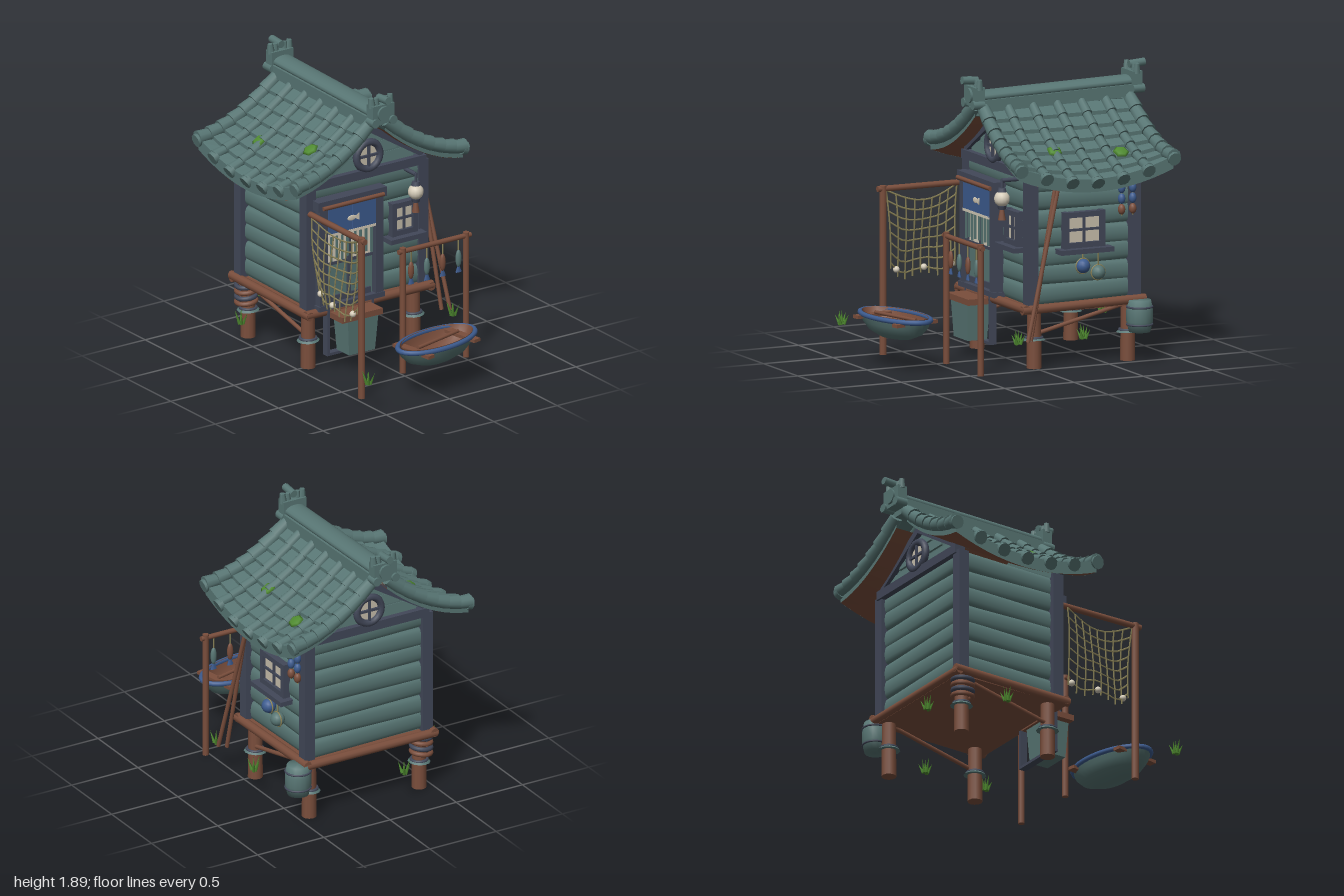
import * as THREE from 'three';
import { ParametricGeometry } from 'three/addons/geometries/ParametricGeometry.js';

const mat = (name, color, side = THREE.FrontSide) => Object.assign(new THREE.MeshStandardMaterial({ color, side }), { name });
const teal = mat('teal', 0x587674, THREE.DoubleSide), slate = mat('slate', 0x424859), brown = mat('brown', 0x7a4e3c, THREE.DoubleSide);
const blue = mat('blue', 0x3d5c90), cream = mat('cream', 0xd6cdba), green = mat('green', 0x4f8a30, THREE.DoubleSide);
const rope = mat('rope', 0x8b8358), glass = mat('pane', 0xc9c0ad);
const V = (x, y, z) => new THREE.Vector3(x, y, z);
const UP = V(0, 1, 0);

export function createModel() {
  const root = new THREE.Group();
  root.name = 'stiltHut';
  const group = (name, x = 0, y = 0, z = 0, parent = root) => {
    const g = new THREE.Group();
    g.name = name; g.position.set(x, y, z); parent.add(g);
    return g;
  };
  const add = (name, geo, m, x = 0, y = 0, z = 0, parent = root) => {
    const o = new THREE.Mesh(geo, m);
    o.name = name; o.position.set(x, y, z); parent.add(o);
    return o;
  };
  const box = (name, m, w, h, d, x, y, z, p) => add(name, new THREE.BoxGeometry(w, h, d), m, x, y, z, p);
  const ball = (name, m, r, x, y, z, p, sx = 1, sy = 1, sz = 1) => {
    const o = add(name, new THREE.SphereGeometry(r, 14, 10), m, x, y, z, p);
    o.scale.set(sx, sy, sz);
    return o;
  };
  const rod = (name, m, a, b, r, p, rEnd = r, seg = 10) => {
    const d = b.clone().sub(a), c = a.clone().add(b).multiplyScalar(0.5);
    const o = add(name, new THREE.CylinderGeometry(rEnd, r, d.length(), seg), m, c.x, c.y, c.z, p);
    o.quaternion.setFromUnitVectors(UP, d.normalize());
    return o;
  };
  const ring = (name, m, r, t, x, y, z, p) => add(name, new THREE.TorusGeometry(r, t, 8, 24), m, x, y, z, p);
  const flatRing = (...a) => { const o = ring(...a); o.rotation.x = Math.PI / 2; return o; };

  // Floor and piles
  const base = group('platform');
  box('floor', brown, 0.96, 0.05, 0.84, 0, 0.395, -0.325, base);
  for (const s of [-1, 1]) {
    rod('sideEdgeLog', brown, V(s * 0.48, 0.395, 0.12), V(s * 0.48, 0.41, -0.77), 0.03, base);
    rod('endEdgeLog', brown, V(-0.5, 0.4, -0.325 + s * 0.42), V(0.5, 0.4, -0.325 + s * 0.42), 0.03, base);
    rod('brace', brown, V(s * 0.43, 0.23, -0.02), V(s * 0.43, 0.37, -0.62), 0.014, base);
    for (const z of [0, -0.675]) {
      rod('pile', brown, V(s * 0.415, 0, z), V(s * 0.415, 0.4, z), 0.049, base, 0.045, 12);
      flatRing('pileBand', slate, 0.052, 0.011, s * 0.415, 0.2, z, base);
      const flare = rod('pileCollar', teal, V(s * 0.415, 0.185, z), V(s * 0.415, 0.2, z), 0.075, base, 0.06, 12);
      flare.rotation.z += 0.05;
    }
  }
  for (let i = 0; i < 4; i++) flatRing('ropeCoil', i % 2 ? slate : brown, 0.065, 0.016, -0.43, 0.25 + i * 0.038, -0.675, base).rotation.y = 0.12;

  // Walls of rounded boards
  const walls = group('walls');
  box('wallCore', teal, 0.84, 0.87, 0.72, 0, 0.85, -0.325, walls);
  const board = (a, b) => {
    const o = rod('wallBoard', teal, a, b, 0.066, walls, 0.066, 12);
    const alongX = Math.abs(b.x - a.x) > 0.1;
    o.scale.set(alongX ? 1 : 0.4, 1, alongX ? 0.4 : 1);
  };
  for (let i = 0; i < 7; i++) {
    const y = 0.485 + i * 0.122, t = (i % 2 ? 1 : -1) * 0.008;
    for (const z of [0.038, -0.688]) board(V(-0.43, y - t, z), V(0.43, y + t, z));
    for (const x of [-0.423, 0.423]) board(V(x, y + t, 0.03), V(x, y - t, -0.68));
  }
  for (const x of [-0.445, 0.445]) for (const z of [0.04, -0.7]) {
    box('cornerPost', slate, 0.075, 0.86, 0.075, x, 0.84, z, walls);
  }

  // Windows: four panes, frame and sill, facing +z locally
  const windowUnit = (name, w, h, x, y, z, ry) => {
    const g = group(name, x, y, z);
    g.rotation.y = ry;
    box('panes', glass, w, h, 0.012, 0, 0, 0.012, g);
    for (const s of [-1, 1]) {
      box('frameSide', slate, 0.035, h + 0.04, 0.05, s * w / 2, 0, 0.015, g);
      box('frameRail', slate, w + 0.03, 0.035, 0.05, 0, s * h / 2, 0.015, g);
    }
    box('mullion', slate, 0.016, h, 0.02, 0, 0, 0.02, g);
    box('crossBar', slate, w, 0.016, 0.02, 0, 0, 0.02, g);
    box('sill', slate, w + 0.12, 0.032, 0.11, 0, -h / 2 - 0.035, 0.03, g);
    return g;
  };
  windowUnit('frontWindow', 0.165, 0.19, 0.28, 0.91, 0.065, 0);
  windowUnit('sideWindow', 0.26, 0.2, 0.45, 0.895, -0.33, Math.PI / 2);

  // Gables with round windows
  const gableShape = new THREE.Shape([[-0.43, 1.27], [0.43, 1.27], [0.42, 1.33], [0, 1.6], [-0.42, 1.33]].map(p => new THREE.Vector2(...p)));
  for (const [z, s] of [[0.045, 1], [-0.695, -1]]) {
    const g = group(s > 0 ? 'frontGable' : 'backGable', 0, 0, z);
    if (s < 0) g.rotation.y = Math.PI;
    add('gableWall', new THREE.ExtrudeGeometry(gableShape, { depth: 0.04, bevelEnabled: false }), teal, 0, 0, -0.035, g);
    [[1.345, 0.37], [1.43, 0.24], [1.51, 0.12]].forEach(([y, w]) => box('gableBoard', teal, w * 2, 0.07, 0.02, 0, y, 0.005, g).rotation.x = -0.12);
    box('tieBeam', slate, 0.9, 0.06, 0.08, 0, 1.28, 0.015, g);
    for (const k of [-1, 1]) {
      const b = box('gableRafter', slate, 0.52, 0.045, 0.04, k * 0.215, 1.455, 0.02, g);
      b.rotation.z = -k * 0.56;
    }
    ring('roundFrame', slate, 0.092, 0.025, 0, 1.4, 0.04, g);
    const disc = add('roundPane', new THREE.CylinderGeometry(0.09, 0.09, 0.02, 24), glass, 0, 1.4, 0.03, g);
    disc.rotation.x = Math.PI / 2;
    box('roundMullion', slate, 0.016, 0.17, 0.02, 0, 1.4, 0.045, g);
    box('roundCrossBar', slate, 0.17, 0.016, 0.02, 0, 1.4, 0.045, g);
  }

  // Curved roof: concave down the slope, lifted toward the gable ends
  const roof = group('roof');
  const roofPoint = (s, u, t, up = 0) => V(s * (0.06 + 0.6 * u), 1.65 - 0.55 * u + 0.13 * u * u + 0.11 * u * u * t * t + up, -0.335 + t * (0.525 + 0.025 * u));
  const sheet = (name, m, f, a, b) => {
    const g = new ParametricGeometry((p, q, out) => out.copy(f(p, q)), a, b).toNonIndexed();
    g.computeVertexNormals();
    add(name, g, m, 0, 0, 0, roof);
  };
  const rows = 7, rolls = 7;
  for (const s of [-1, 1]) {
    sheet('soffit', brown, (p, q) => roofPoint(s, p, q * 2 - 1, -0.06), 8, 10);
    sheet('eaveEdge', teal, (p, q) => roofPoint(s, 1, q * 2 - 1, -0.06 + p * 0.08), 1, 14);
    for (const t of [-1, 1]) sheet('gableEdge', teal, (p, q) => roofPoint(s, p, t, -0.06 + q * 0.07), 10, 1);
    for (let i = 0; i < rows; i++) {
      sheet('tileRow', teal, (p, q) => roofPoint(s, (i + Math.min(1, p * 2)) / rows, q * 2 - 1, p === 0.5 ? 0.025 : 0), 2, 18);
      for (let j = 0; j < rolls; j++) {
        const t = j / (rolls - 1) * 2 - 1, edge = Math.abs(t) > 0.99, r = edge ? 0.046 : 0.033;
        rod('rollTile', teal, roofPoint(s, i / rows, t, 0.014), roofPoint(s, (i + 1.1) / rows, t, 0.022), r * 0.9, roof, r * 1.08);
      }
    }
    for (let j = 0; j < rolls; j++) {
      const t = j / (rolls - 1) * 2 - 1;
      rod('eaveCap', teal, roofPoint(s, 0.98, t, 0.01), roofPoint(s, 1.035, t, 0.005), 0.045, roof);
    }
  }
  for (const [x, z, s, ry] of [[0.47, -0.6, 1, 0.3], [0.41, -0.15, 1, 1], [-0.43, -0.53, -1, 2], [-0.34, -0.08, -1, 0.6]]) {
    const p = roofPoint(s, (Math.abs(x) - 0.06) / 0.6, (z + 0.335) / 0.54, 0.035);
    const moss = add('moss', new THREE.SphereGeometry(0.052, 6, 4), green, p.x, p.y, z, roof);
    moss.scale.set(1, 0.3, 1.1);
    moss.rotation.set(0, ry, -s * 0.58, 'ZYX');
  }

  // Ridge and end ornaments
  const ridge = group('ridge', 0, 1.7, -0.335);
  ridge.rotation.x = 0.02;
  box('ridgeBase', teal, 0.17, 0.08, 1.07, 0, -0.01, 0, ridge);
  box('ridgeCourse', slate, 0.13, 0.03, 1.08, 0, 0.04, 0, ridge);
  const cap = rod('ridgeCap', teal, V(0, 0.045, 0.54), V(0, 0.045, -0.54), 0.075, ridge, 0.075, 16);
  cap.scale.z = 0.5;
  for (const s of [-1, 1]) {
    const g = group('ridgeOrnament', 0, s > 0 ? 1.74 : 1.76, s > 0 ? 0.225 : -0.91);
    if (s < 0) g.rotation.y = Math.PI;
    box('ornamentBlock', teal, 0.17, 0.13, 0.07, 0, 0, 0, g);
    rod('ornamentDisc', teal, V(0, 0.005, 0.02), V(0, 0.005, 0.05), 0.05, g, 0.05, 16);
    rod('ornamentFinial', teal, V(0, 0.1, -0.02), V(0, 0.108, 0.09), 0.026, g);
    for (const k of [-1, 1]) {
      rod('ornamentScroll', teal, V(k * 0.07, -0.05, -0.03), V(k * 0.07, -0.05, 0.05), 0.03, g);
      rod('ornamentHorn', teal, V(k * 0.07, 0.05, 0), V(k * 0.075, 0.115, 0), 0.028, g, 0.018, 6);
      rod('ornamentTooth', teal, V(k * 0.035, 0.05, 0), V(k * 0.037, 0.11, 0), 0.024, g, 0.016, 6);
    }
  }

  // Doorway, sliding doors and curtain
  const door = group('doorway', -0.16, 0, 0.085);
  for (const s of [-1, 1]) {
    box('doorPost', slate, 0.06, 0.75, 0.07, s * 0.22, 0.79, 0.01, door);
    box('doorPanel', teal, 0.185, 0.64, 0.02, s * 0.095, 0.76, -0.005, door);
    box('doorPane', cream, 0.15, 0.3, 0.008, s * 0.095, 0.87, 0.008, door);
    box('doorRail', slate, 0.185, 0.02, 0.02, s * 0.095, 0.72, 0.008, door);
    box('doorKickRail', slate, 0.15, 0.04, 0.02, s * 0.095, 0.475, 0.008, door);
    box('curtain', blue, 0.184, 0.19, 0.012, s * 0.095, 1.03, 0.045, door);
    box('curtainTrim', cream, 0.184, 0.018, 0.016, s * 0.095, 0.932, 0.045, door);
    for (let i = 0; i < 4; i++) box('fringe', teal, 0.014, 0.16 + (i % 2) * 0.03, 0.012, s * (0.03 + i * 0.043), 0.84, 0.04, door);
  }
  box('doorStile', slate, 0.025, 0.66, 0.02, 0, 0.76, 0.01, door);
  box('lintel', slate, 0.54, 0.065, 0.09, 0, 1.145, 0.01, door);
  box('threshold', slate, 0.52, 0.035, 0.08, 0, 0.435, 0.01, door);
  rod('curtainRod', brown, V(-0.24, 1.135, 0.065), V(0.24, 1.135, 0.065), 0.014, door);
  ball('curtainFish', cream, 0.035, -0.005, 1.02, 0.052, door, 1, 0.55, 0.12);
  const tail = add('curtainFishTail', new THREE.CylinderGeometry(0.028, 0.028, 0.006, 3), cream, 0.037, 1.02, 0.053, door);
  tail.rotation.set(Math.PI / 2, Math.PI / 6, 0);

  // Step, hanging tub and lower frame
  const step = group('entryStep', -0.16, 0, 0.17);
  box('stepBoard', brown, 0.32, 0.04, 0.19, -0.01, 0.38, 0, step);
  const tub = add('tub', new THREE.CylinderGeometry(0.17, 0.145, 0.24, 4).rotateY(Math.PI / 4).toNonIndexed(), teal, 0, 0.24, 0.005, step);
  tub.geometry.computeVertexNormals();
  tub.scale.z = 0.68;
  for (const s of [-1, 1]) box('frameLeg', slate, 0.018, 0.32, 0.05, -0.005 + s * 0.175, 0.26, -0.07, step);
  box('frameFoot', slate, 0.37, 0.018, 0.05, -0.005, 0.105, -0.07, step);

  // Lantern
  const lantern = group('lantern', 0.31, 1.11, 0.18);
  ball('lanternGlobe', cream, 0.052, 0, 0, 0, lantern);
  for (const s of [-1, 1]) rod('lanternCap', slate, V(0, s * 0.045, 0), V(0, s * 0.07, 0), 0.032, lantern, 0.024);
  rod('lanternHook', slate, V(0, 0.07, 0), V(0, 0.13, 0), 0.01, lantern);
  rod('lanternArm', slate, V(0, 0.12, 0), V(0, 0.12, -0.14), 0.014, lantern);
  rod('lanternTassel', brown, V(0, -0.14, 0), V(0, -0.07, 0), 0.026, lantern, 0.014);

  // Drying rack with hanging fish
  const rack = group('dryingRack', 0, 0, 0.44);
  for (const x of [0.025, 0.525]) rod('rackPost', brown, V(x, 0, 0), V(x, 0.865, 0), 0.021, rack);
  rod('rackBar', brown, V(-0.01, 0.84, 0), V(0.56, 0.84, 0), 0.017, rack);
  [0.09, 0.215, 0.34, 0.465].forEach((x, i) => {
    rod('fishString', rope, V(x, 0.74, 0), V(x, 0.84, 0), 0.005, rack);
    ball('fish', i % 2 ? teal : brown, 0.06, x, 0.695, 0, rack, 0.36, 1, 0.28);
    rod('fishTail', blue, V(x, 0.6, 0), V(x, 0.65, 0), 0.026, rack, 0.006, 6).scale.z = 0.35;
  });

  // Net rack
  const net = group('netRack');
  rod('netPost', brown, V(-0.455, 0, 0.66), V(-0.455, 1.11, 0.66), 0.024, net);
  rod('netBar', brown, V(-0.455, 1.09, 0.7), V(-0.455, 1.09, 0.08), 0.02, net);
  const netPoint = (s, t) => V(-0.45 + 0.025 * Math.sin(t * 3 + s * 4), 1.08 - 0.08 * Math.sin(Math.PI * s) - t * (0.48 + 0.03 * Math.sin(s * 9)), 0.38 - (s - 0.5) * 0.52 * (1 - 0.12 * t));
  const strand = f => add('netStrand', new THREE.TubeGeometry(new THREE.CatmullRomCurve3([0, 0.2, 0.4, 0.6, 0.8, 1].map(f)), 10, 0.006, 4), rope, 0, 0, 0, net);
  for (let i = 0; i <= 8; i++) strand(k => netPoint(i / 8, k * 1.08));
  for (let i = 0; i <= 7; i++) strand(k => netPoint(k, i / 7));
  for (const s of [0.1, 0.55, 0.95]) { const p = netPoint(s, 1); ball('netFloat', cream, 0.022, p.x, p.y, p.z, net); }

  // Boat
  const boat = group('boat', 0.03, 0.2, 0.81);
  boat.rotation.y = 0.18;
  const bowl = (name, m, k, y) => {
    const pts = [[0, 0], [0.45, 0.008], [0.75, 0.045], [0.92, 0.095], [1, 0.15]].map(([r, h]) => new THREE.Vector2(r, h));
    add(name, new THREE.LatheGeometry(pts, 32), m, 0, y, 0, boat).scale.set(0.325 * k, 1, 0.16 * k);
  };
  bowl('hull', teal, 1, 0);
  bowl('hullLining', brown, 0.93, 0.012);
  const rim = Array.from({ length: 24 }, (_, i) => { const a = i * Math.PI / 12; return V(0.32 * Math.cos(a), 0.145, 0.157 * Math.sin(a)); });
  add('gunwale', new THREE.TubeGeometry(new THREE.CatmullRomCurve3(rim, true), 48, 0.017, 8, true), blue, 0, 0, 0, boat);
  for (const x of [-0.21, 0.21]) box('thwart', brown, 0.055, 0.022, 0.33, x, 0.125, 0, boat);
  rod('oar', brown, V(-0.19, 0.145, 0.02), V(0.21, 0.145, -0.01), 0.012, boat);

  // Leaning poles, barrel and wall hangings
  rod('leaningPole', brown, V(0.61, 0.21, 0.14), V(0.535, 1.22, -0.12), 0.014);
  rod('leaningPole', brown, V(0.57, 0.21, 0.1), V(0.53, 1.22, -0.1), 0.014);
  const barrel = group('barrel', 0.52, 0.2, -0.71);
  add('barrelBody', new THREE.LatheGeometry([[0, 0], [0.07, 0], [0.087, 0.07], [0.087, 0.14], [0.074, 0.21], [0, 0.21]].map(p => new THREE.Vector2(...p)), 16), teal, 0, 0, 0, barrel);
  for (const y of [0.05, 0.165]) flatRing('barrelHoop', slate, 0.083, 0.007, 0, y, 0, barrel);
  [[-0.31, 0.66, blue], [-0.42, 0.61, teal]].forEach(([z, y, m]) => {
    ball('glassFloat', m, 0.048, 0.5, y, z);
    ring('floatNet', rope, 0.049, 0.005, 0.5, y, z).rotation.y = Math.PI / 2;
    rod('floatString', rope, V(0.5, y, z), V(0.5, 0.76, z), 0.005);
  });
  for (const z of [-0.59, -0.67]) {
    rod('charmString', rope, V(0.5, 0.97, z), V(0.5, 1.28, z), 0.005);
    [blue, blue, brown].forEach((m, i) => ball('charm', m, 0.035, 0.5, 1.15 - i * 0.07, z, root, 0.7, 1, 0.7));
  }

  // Grass tufts
  for (const [x, z] of [[-0.57, 0.9], [0.59, 0.2], [0.59, -0.27], [-0.62, -0.46], [-0.22, -0.81]]) {
    const g = group('grassTuft', x, 0.2, z);
    for (let i = 0; i < 6; i++) {
      const a = i * 1.05, r = i ? 0.045 : 0;
      rod('grassBlade', green, V(r * 0.3 * Math.cos(a), 0, r * 0.3 * Math.sin(a)), V(r * Math.cos(a), 0.095 - (i % 3) * 0.015, r * Math.sin(a)), 0.013, g, 0, 4);
    }
  }
  return root;
}
